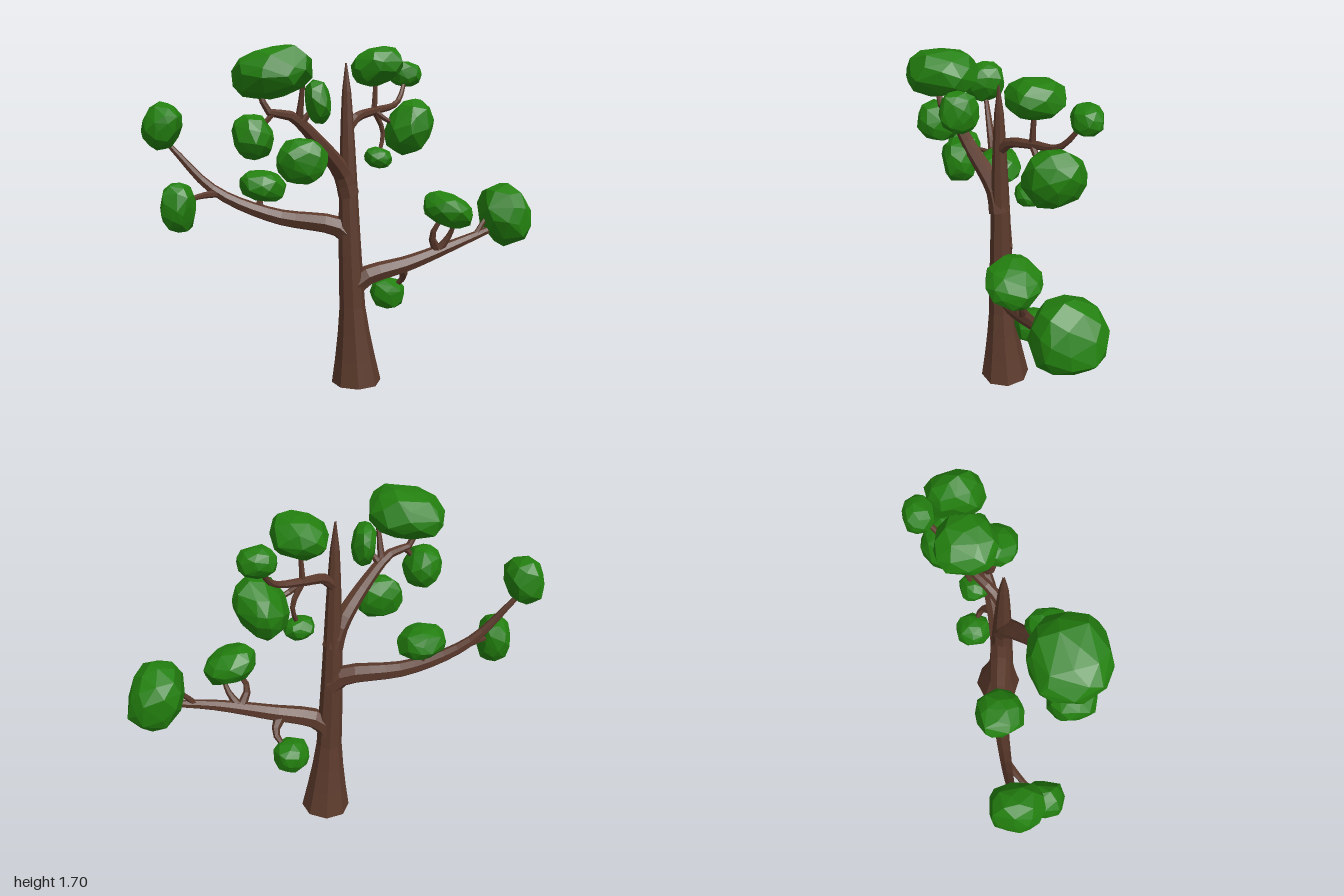
import * as THREE from 'three';
import { ConvexGeometry } from 'three/addons/geometries/ConvexGeometry.js';

const { lerp } = THREE.MathUtils;

// small seeded random generator
function seeded(seed) {
  let s = seed * 7919 + 17;
  return () => {
    s = (s * 16807) % 2147483647;
    return s / 2147483647;
  };
}

// smooth path through points
function path(...points) {
  return new THREE.CatmullRomCurve3(points.map(p => new THREE.Vector3(...p)));
}

// faceted limb along a curve; radiusAt(u) gives its thickness, the start is closed
function limbGeometry(curve, radiusAt, sides, steps) {
  const geo = new THREE.TubeGeometry(curve, steps, 1, sides, false);
  const pos = geo.attributes.position;
  const v = new THREE.Vector3();
  for (let n = 0; n < pos.count; n++) {
    const u = Math.floor(n / (sides + 1)) / steps;
    const centre = curve.getPointAt(u);
    v.fromBufferAttribute(pos, n).sub(centre).multiplyScalar(radiusAt(u)).add(centre);
    pos.setXYZ(n, v.x, Math.max(v.y, 0), v.z);
  }
  const index = Array.from(geo.index.array);
  for (let j = 1; j < sides - 1; j++) index.push(0, j, j + 1);
  geo.setIndex(index);
  const flat = geo.toNonIndexed();
  flat.computeVertexNormals();
  return flat;
}

// irregular, slightly boxy faceted leaf clump
function clumpGeometry(size, seed) {
  const rand = seeded(seed);
  const count = 44, power = 2.4, points = [];
  for (let i = 0; i < count; i++) {
    const y = 1 - (2 * (i + 0.5)) / count;
    const angle = i * 2.4 + rand() * 0.5 + seed;
    const r = Math.sqrt(1 - y * y);
    const p = new THREE.Vector3(r * Math.cos(angle), y + (rand() - 0.5) * 0.12, r * Math.sin(angle));
    const sum = p.toArray().reduce((s, c) => s + Math.abs(c) ** power, 0);
    points.push(p.multiplyScalar((0.95 + rand() * 0.1) / sum ** (1 / power)));
  }
  return new ConvexGeometry(points).scale(...size);
}

export function createModel() {
  const bark = new THREE.MeshStandardMaterial({ color: 0x5c3a2c });
  bark.name = 'bark brown';
  const leaf = new THREE.MeshStandardMaterial({ color: 0x23800f });
  leaf.name = 'leaf green';

  const tree = new THREE.Group();
  tree.name = 'tree';
  const add = (name, geometry, material) => {
    const mesh = new THREE.Mesh(geometry, material);
    mesh.name = name;
    tree.add(mesh);
    return mesh;
  };

  // evenly tapering main branch
  const branch = (name, r0, r1, curve) => {
    const radiusAt = u => lerp(r0, r1, u);
    add(name, limbGeometry(curve, radiusAt, 7, 14), bark);
    return { curve, radiusAt };
  };

  // twig leaving a branch at fraction t, bowed along the branch direction
  const twig = (from, t, end, bow = 0.02) => {
    const base = from.curve.getPointAt(t);
    const tip = new THREE.Vector3(...end);
    const middle = base.clone().lerp(tip, 0.5).addScaledVector(from.curve.getTangentAt(t), bow);
    const r = from.radiusAt(t) * 0.8;
    const curve = new THREE.CatmullRomCurve3([base, middle, tip]);
    add('twig', limbGeometry(curve, u => lerp(0.011, r, (1 - u) ** 2), 6, 6), bark);
  };

  // leaf clump, tilted in the front plane
  let seed = 0;
  const clump = (centre, size, tilt = 0) => {
    const mesh = add('leafClump', clumpGeometry(size, ++seed), leaf);
    mesh.position.set(...centre);
    mesh.rotation.z = tilt;
    return centre;
  };

  // trunk with flared foot and pointed tip
  const trunk = path([0.05, 0, -0.035], [0.028, 0.4, -0.018], [0.012, 0.8, -0.015],
    [0.003, 1.2, -0.01], [-0.005, 1.61, -0.005]);
  const trunkRadius = u => 0.004 + 0.072 * (1 - u) ** 0.55 + 0.05 * Math.max(0, 1 - 4 * u) ** 1.3;
  add('trunk', limbGeometry(trunk, trunkRadius, 8, 12), bark);

  // lower left branch
  const lower = branch('lowerLeftBranch', 0.058, 0.015, path([0.02, 0.47, -0.02],
    [0.08, 0.545, -0.02], [0.32, 0.615, -0.04], [0.6, 0.71, -0.1], [0.82, 0.78, -0.18]));
  twig(lower, 0.33, clump([0.225, 0.435, -0.155], [0.09, 0.08, 0.094], -0.2), 0.055);
  twig(lower, 0.57, clump([0.507, 0.89, -0.01], [0.134, 0.085, 0.128], -0.4), -0.06);
  twig(lower, 0.57, [0.55, 0.84, -0.02]);
  clump([0.85, 0.835, -0.19], [0.128, 0.165, 0.165], 0.45);
  twig(lower, 0.83, [0.77, 0.85, -0.17], -0.01);

  // middle right branch
  const middle = branch('middleRightBranch', 0.056, 0.013, path([0.02, 0.76, -0.02],
    [-0.04, 0.81, -0.025], [-0.36, 0.865, -0.055], [-0.65, 0.995, -0.05], [-0.86, 1.22, -0.035]));
  clump([-0.89, 1.31, -0.03], [0.092, 0.115, 0.115], -0.35);
  twig(middle, 0.68, clump([-0.81, 0.935, 0.1], [0.084, 0.122, 0.1]));
  twig(middle, 0.47, clump([-0.415, 1.015, -0.06], [0.118, 0.078, 0.112], -0.2), 0);

  // upper right branch
  const upper = branch('upperRightBranch', 0.054, 0.012, path([0.01, 0.97, -0.01],
    [-0.02, 1.07, 0.005], [-0.15, 1.24, 0.11], [-0.28, 1.365, 0.19], [-0.38, 1.385, 0.24],
    [-0.42, 1.48, 0.25]));
  clump([-0.355, 1.56, 0.23], [0.186, 0.115, 0.18], 0.2);
  twig(upper, 0.64, [-0.22, 1.52, 0.21], 0);
  twig(upper, 0.83, clump([-0.45, 1.27, 0.25], [0.09, 0.106, 0.112], 0.3), 0);
  twig(upper, 0.62, clump([-0.15, 1.43, 0.165], [0.06, 0.102, 0.096], 0.1), 0);
  twig(upper, 0.43, clump([-0.225, 1.155, 0.165], [0.12, 0.11, 0.085]));

  // upper left branch
  const top = branch('upperLeftBranch', 0.028, 0.009, path([0, 1.29, -0.01],
    [0.05, 1.35, -0.05], [0.15, 1.38, -0.14], [0.28, 1.42, -0.24], [0.34, 1.56, -0.335]));
  clump([0.337, 1.567, -0.34], [0.085, 0.066, 0.07], -0.15);
  twig(top, 0.39, clump([0.16, 1.6, -0.145], [0.135, 0.092, 0.137], 0.25), 0);
  twig(top, 0.39, clump([0.17, 1.145, -0.13], [0.072, 0.052, 0.068], -0.2), 0.05);
  twig(top, 0.39, clump([0.337, 1.295, -0.21], [0.112, 0.148, 0.144], -0.45), -0.03);

  return tree;
}
